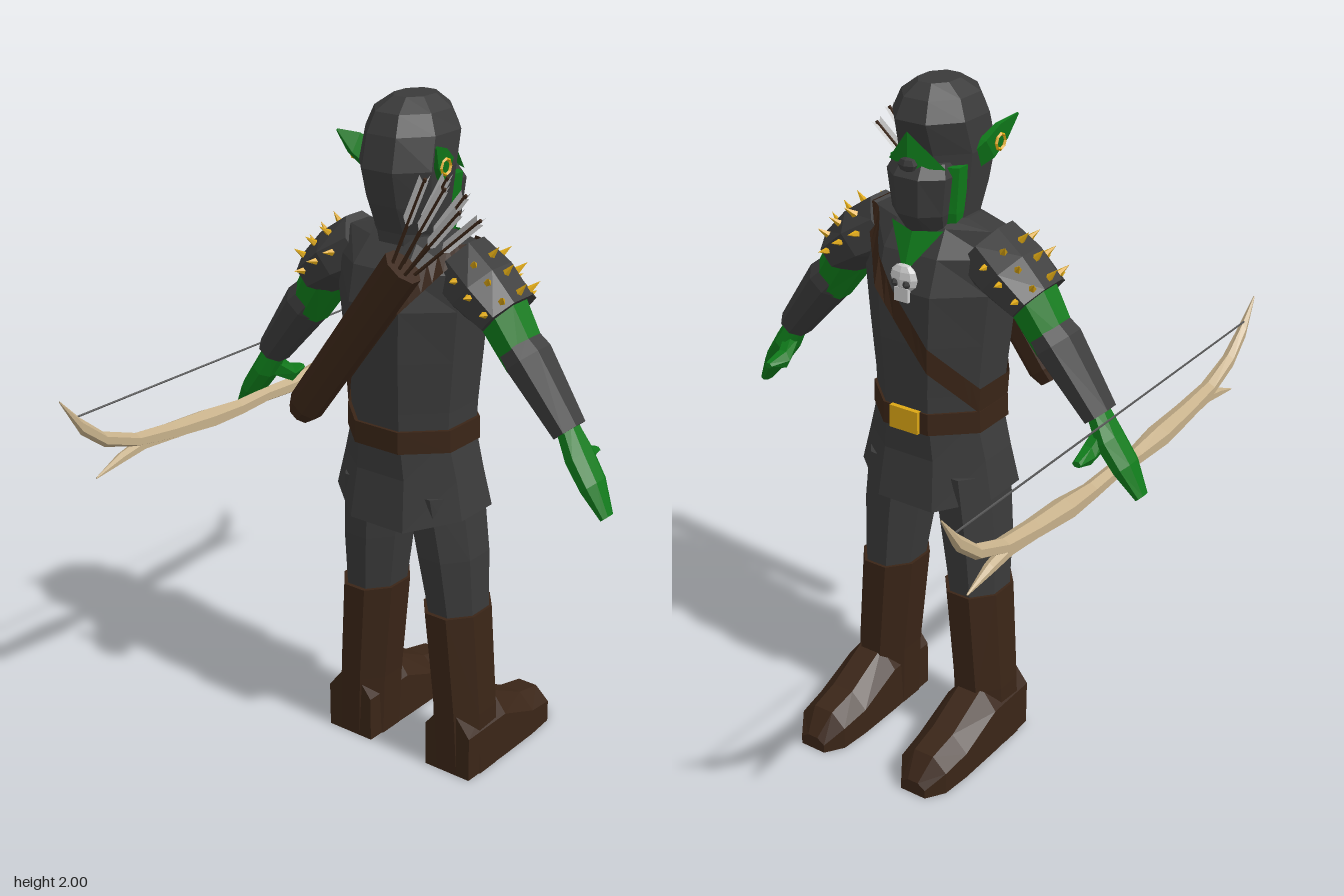
import * as THREE from 'three';

const DARK = 0x3a3a3a, GREEN = 0x0f7a1a, BROWN = 0x3a2517, GOLD = 0xdba614, WOOD = 0xc6b08a, BONE = 0xcccccc;
const X = [1, 0, 0], Y = [0, 1, 0], Z = [0, 0, 1];
const vec = (a) => new THREE.Vector3(...a);

function add(parent, name, geo, color, side = THREE.FrontSide) {
  const mesh = new THREE.Mesh(geo, new THREE.MeshStandardMaterial({ color, flatShading: true, side }));
  mesh.name = name;
  parent.add(mesh);
  return mesh;
}

function fromPoints(points, index) {
  const g = new THREE.BufferGeometry();
  g.setAttribute('position', new THREE.Float32BufferAttribute(points.flatMap((p) => [p.x, p.y, p.z]), 3));
  g.setIndex(index);
  g.computeVertexNormals();
  return g;
}

// Capped loft through polygon rings; a section is [x, y, z, radius along u, radius along v].
function loft(sections, u, v, { n = 8, s = 1, tweak } = {}) {
  const pts = [], idx = [], U = vec(u), V = vec(v), k = 1 / Math.cos(Math.PI / n);
  for (const [x, y, z, ru, rv] of sections) {
    for (let i = 0; i < n; i++) {
      const a = ((i + 0.5) / n) * Math.PI * 2;
      pts.push(new THREE.Vector3(x, y, z).addScaledVector(U, ru * k * Math.cos(a)).addScaledVector(V, rv * k * Math.sin(a)));
    }
  }
  const m = sections.length;
  for (let r = 0; r < m - 1; r++) {
    for (let i = 0; i < n; i++) {
      const a = r * n + i, b = r * n + ((i + 1) % n);
      idx.push(a, b, b + n, a, b + n, a + n);
    }
  }
  for (let i = 1; i < n - 1; i++) idx.push(0, i + 1, i, (m - 1) * n, (m - 1) * n + i, (m - 1) * n + i + 1);
  for (const p of pts) {
    if (tweak) tweak(p);
    p.z *= s;
  }
  // Turn faces outward whichever way the loft runs
  let vol = 0;
  for (let i = 0; i < idx.length; i += 3) {
    vol += pts[idx[i]].clone().sub(pts[0]).dot(pts[idx[i + 1]].clone().sub(pts[0]).cross(pts[idx[i + 2]].clone().sub(pts[0])));
  }
  return fromPoints(pts, vol < 0 ? idx.reverse() : idx);
}

// Section of an upright part: height, back x, front x, half width
const up = (y, x0, x1, rz, z = 0) => [(x0 + x1) / 2, y, z, (x1 - x0) / 2, rz];

const TORSO = [up(1.04, -0.16, 0.16, 0.17), up(1.15, -0.165, 0.165, 0.175), up(1.3, -0.175, 0.172, 0.19),
  up(1.45, -0.18, 0.172, 0.205), up(1.55, -0.155, 0.14, 0.21), up(1.62, -0.09, 0.09, 0.19), up(1.64, -0.07, 0.07, 0.11)];

// Point just outside the torso where the slanted plane y = y0 + 1.3 z meets it
function strapPoint(t, y0) {
  let rho = 0, y = y0, z = 0, x = 0;
  for (let k = 0; k < 8; k++) rho = Math.max(rho, Math.cos(t - (k * Math.PI) / 4));
  for (let j = 0; j < 8; j++) {
    y = THREE.MathUtils.clamp(y0 + 1.3 * z, 1.06, 1.62);
    const i = TORSO.findIndex((q) => q[1] >= y), a = TORSO[i - 1], b = TORSO[i], f = (y - a[1]) / (b[1] - a[1]);
    const mix = (c) => a[c] + (b[c] - a[c]) * f;
    z = (1.05 * mix(4) * Math.sin(t)) / rho;
    x = mix(0) + (1.06 * mix(3) * Math.cos(t)) / rho;
  }
  return new THREE.Vector3(x, y + 0.008, z);
}

function buildBody(g) {
  add(g, 'torso', loft(TORSO, X, Z), DARK);
  add(g, 'tunicSkirt', loft([up(1.07, -0.158, 0.158, 0.17), up(0.95, -0.155, 0.155, 0.2), up(0.82, -0.175, 0.175, 0.225)], X, Z, {
    tweak: (p) => { if (p.y < 0.9) p.y = 0.845 - 0.045 * Math.min(1, (p.x / 0.17) ** 2); },
  }), DARK);
  add(g, 'belt', loft([up(1.035, -0.172, 0.168, 0.184), up(1.1, -0.172, 0.168, 0.182)], X, Z), BROWN);
  add(g, 'buckle', new THREE.BoxGeometry(0.02, 0.068, 0.095), GOLD).position.set(0.168, 1.068, 0);

  // Strap across the chest and back
  const pts = [], idx = [], N = 48;
  for (let i = 0; i <= N; i++) {
    const t = (i / N) * Math.PI * 2;
    pts.push(strapPoint(t, 1.325), strapPoint(t, 1.405));
    if (i < N) idx.push(2 * i, 2 * i + 1, 2 * i + 3, 2 * i, 2 * i + 3, 2 * i + 2);
  }
  add(g, 'strap', fromPoints(pts, idx), BROWN, THREE.DoubleSide);

  // Open collar
  const collar = [[0.105, 1.62, 0.085], [0.13, 1.61, 0], [0.105, 1.62, -0.085], [0.172, 1.5, 0]].map(vec);
  add(g, 'collar', fromPoints(collar, [0, 3, 1, 1, 3, 2]), GREEN, THREE.DoubleSide);

  // Skull brooch
  const skull = new THREE.Group();
  skull.name = 'skullBrooch';
  skull.position.set(0.168, 1.49, 0);
  add(skull, 'cranium', new THREE.SphereGeometry(0.045, 8, 6).scale(0.45, 0.9, 1), BONE);
  add(skull, 'jaw', new THREE.BoxGeometry(0.03, 0.04, 0.045), BONE).position.set(0, -0.045, 0);
  for (const s of [1, -1]) add(skull, 'eyeSocket', new THREE.SphereGeometry(0.012, 6, 4), DARK).position.set(0.014, -0.012, 0.019 * s);
  g.add(skull);
}

function buildHead(g) {
  add(g, 'hood', loft([up(1.58, -0.1, 0.08, 0.1), up(1.64, -0.1, 0.085, 0.1), up(1.72, -0.135, 0.09, 0.11), up(1.82, -0.16, 0.105, 0.122),
    up(1.91, -0.14, 0.135, 0.117), up(1.965, -0.115, 0.11, 0.095), up(2, -0.06, 0.07, 0.05)], X, Z), DARK);
  add(g, 'jaw', loft([up(1.58, -0.02, 0.08, 0.088), up(1.66, -0.02, 0.105, 0.1), up(1.79, -0.02, 0.11, 0.112)], X, Z), GREEN);
  add(g, 'mask', loft([up(1.57, 0, 0.09, 0.06), up(1.66, 0, 0.152, 0.082), up(1.765, 0, 0.158, 0.095), up(1.8, 0, 0.132, 0.08)], X, Z), DARK);
  const face = [[0.15, 1.89, 0], [0.105, 1.79, 0.092], [0.15, 1.79, 0], [0.105, 1.79, -0.092]].map(vec);
  add(g, 'face', fromPoints(face, [0, 1, 2, 0, 2, 3]), GREEN, THREE.DoubleSide);
  add(g, 'nose', new THREE.SphereGeometry(0.03, 6, 4).scale(0.6, 0.7, 1), DARK).position.set(0.148, 1.8, 0);
  for (const s of [1, -1]) {
    add(g, 'ear', loft([[0.0, 1.79, 0.1, 0.012, 0.03], [-0.03, 1.82, 0.128, 0.012, 0.035], [-0.075, 1.86, 0.145, 0.008, 0.03],
      [-0.12, 1.9, 0.165, 0.002, 0.003]], Z, [0.6, 0.8, 0], { n: 4, s }), GREEN);
    add(g, 'earring', new THREE.TorusGeometry(0.021, 0.005, 4, 8), GOLD).position.set(-0.06, 1.835, 0.152 * s);
  }
}

function buildArm(g, s) {
  const V = [0, 0.63, 0.77];
  add(g, 'upperArm', loft([[0, 1.53, 0.2, 0.07, 0.07], [0, 1.45, 0.3, 0.078, 0.068], [0, 1.33, 0.38, 0.062, 0.058]], X, V, { s }), GREEN);
  add(g, 'gauntlet', loft([[0, 1.375, 0.35, 0.065, 0.058], [0, 1.34, 0.385, 0.072, 0.064], [0, 1.165, 0.522, 0.054, 0.045]], X, V, { s }), DARK);
  add(g, 'hand', loft([[0, 1.18, 0.51, 0.034, 0.03], [0, 1.1, 0.555, 0.05, 0.034], [-0.005, 1.03, 0.605, 0.048, 0.03],
    [-0.01, 0.95, 0.655, 0.025, 0.013]], X, V, { s }), GREEN);
  add(g, 'thumb', loft([[0, 1.12, 0.54, 0.04, 0.022], [0.065, 1.07, 0.525, 0.026, 0.022], [0.128, 1.07, 0.53, 0.008, 0.012]], Y, Z, { n: 6, s }), GREEN);

  // Shoulder pad with rows of spikes
  const P = [0, 0.75, 0.65], pad = [[0, 1.56, 0.145, 0.085, 0.1], [0, 1.51, 0.235, 0.108, 0.09], [0, 1.45, 0.32, 0.102, 0.068]];
  add(g, 'shoulderPad', loft(pad, X, P, { s }), DARK);
  for (const t of [0.6, 1.2, 1.8]) {
    const a = pad[Math.floor(t)], b = pad[Math.floor(t) + 1];
    const q = a.map((c, i) => c + (b[i] - c) * (t % 1));
    for (let k = -2; k <= 2; k++) {
      const ang = k * 0.68, n = new THREE.Vector3(Math.sin(ang), P[1] * Math.cos(ang), P[2] * Math.cos(ang) * s).normalize();
      const spike = add(g, 'spike', new THREE.ConeGeometry(0.013, 0.045, 5), GOLD);
      spike.position.set(q[3] * Math.sin(ang), q[1] + q[4] * P[1] * Math.cos(ang), (q[2] + q[4] * P[2] * Math.cos(ang)) * s).addScaledVector(n, 0.015);
      spike.quaternion.setFromUnitVectors(vec(Y), n);
    }
  }
}

function buildLeg(g, s) {
  add(g, 'trouserLeg', loft([up(0.5, -0.08, 0.115, 0.08, 0.152), up(0.7, -0.105, 0.125, 0.095, 0.135), up(0.9, -0.125, 0.13, 0.1, 0.11)], X, Z, { s }), DARK);
  add(g, 'bootShaft', loft([up(0, -0.08, 0.11, 0.085, 0.185), up(0.2, -0.085, 0.12, 0.085, 0.177), up(0.52, -0.095, 0.125, 0.09, 0.15)], X, Z, { s }), BROWN);
  // Foot: the lower half of each ring is pressed flat to the sole
  add(g, 'bootFoot', loft([[-0.08, 0.1, 0.185, 0.08, 0.1], [0.1, 0.1, 0.185, 0.085, 0.11], [0.25, 0.05, 0.185, 0.085, 0.082], [0.345, 0.04, 0.185, 0.078, 0.07],
    [0.4, 0.015, 0.185, 0.042, 0.028]], Z, Y, { s, tweak: (p) => { if (p.y < (p.x > 0.38 ? 0.015 : p.x > 0.3 ? 0.04 : p.x > 0.2 ? 0.05 : 0.1)) p.y = 0; } }), BROWN);
}

function buildQuiver(g) {
  add(g, 'quiver', loft([[-0.22, 1.1, -0.235, 0.03, 0.035], [-0.222, 1.13, -0.21, 0.04, 0.05], [-0.222, 1.6, 0.135, 0.042, 0.055]], X, [0, -0.6, 0.8]), BROWN);
  const ends = [[-0.2, 1.76, 0.365], [-0.255, 1.79, 0.34], [-0.195, 1.815, 0.315], [-0.25, 1.84, 0.29], [-0.205, 1.855, 0.265], [-0.265, 1.86, 0.24]];
  ends.forEach((e, i) => {
    const tip = vec(e), base = new THREE.Vector3(-0.222 + (i % 2 ? -0.015 : 0.015), 1.57, 0.15 - i * 0.011);
    const len = tip.distanceTo(base), arrow = new THREE.Group();
    arrow.name = 'arrow';
    arrow.position.copy(base);
    arrow.quaternion.setFromUnitVectors(vec(Y), tip.clone().sub(base).normalize());
    add(arrow, 'shaft', new THREE.CylinderGeometry(0.005, 0.005, len, 5).translate(0, len / 2, 0), BROWN);
    for (let k = 0; k < 3; k++) {
      const vane = new THREE.Shape([[0, -0.16], [0.018, -0.13], [0.018, 0.005], [0, -0.015]].map((p) => new THREE.Vector2(...p)));
      add(arrow, 'fletching', new THREE.ShapeGeometry(vane).translate(0, len, 0).rotateY((k * Math.PI * 2) / 3), BONE, THREE.DoubleSide);
    }
    g.add(arrow);
  });
}

function buildBow(g) {
  const z = -0.57;
  const half = [[0.12, 1.0, z, 0.022, 0.022], [0.25, 1.008, z, 0.032, 0.026], [0.4, 1.02, z, 0.027, 0.022], [0.54, 1.038, z, 0.022, 0.018],
    [0.66, 1.08, z, 0.018, 0.02], [0.74, 1.145, z, 0.013, 0.022], [0.805, 1.235, z, 0.002, 0.003]];
  const mirrored = half.map(([x, ...r]) => [-x, ...r]).reverse();
  add(g, 'bowLimbs', loft([...mirrored, [0, 1.005, z, 0.02, 0.02], ...half], Z, Y, { n: 6 }), WOOD);
  for (const m of [1, -1]) {
    add(g, 'bowProng', loft([[0.36 * m, 1.012, z, 0.022, 0.02], [0.52 * m, 1.018, z, 0.018, 0.016], [0.6 * m, 1.003, z, 0.014, 0.013],
      [0.695 * m, 0.975, z, 0.002, 0.002]], Z, Y, { n: 6 }), WOOD);
  }
  add(g, 'bowString', new THREE.CylinderGeometry(0.003, 0.003, 1.53, 5).rotateZ(Math.PI / 2), 0x555555).position.set(0, 1.175, z);
}

export function createModel() {
  const model = new THREE.Group();
  model.name = 'hoodedArcher';
  const part = (name, build, ...args) => {
    const g = new THREE.Group();
    g.name = name;
    build(g, ...args);
    model.add(g);
  };
  part('body', buildBody);
  part('head', buildHead);
  for (const [name, s] of [['right', 1], ['left', -1]]) {
    part(name + 'Arm', buildArm, s);
    part(name + 'Leg', buildLeg, s);
  }
  part('quiverWithArrows', buildQuiver);
  part('bow', buildBow);
  return model;
}
